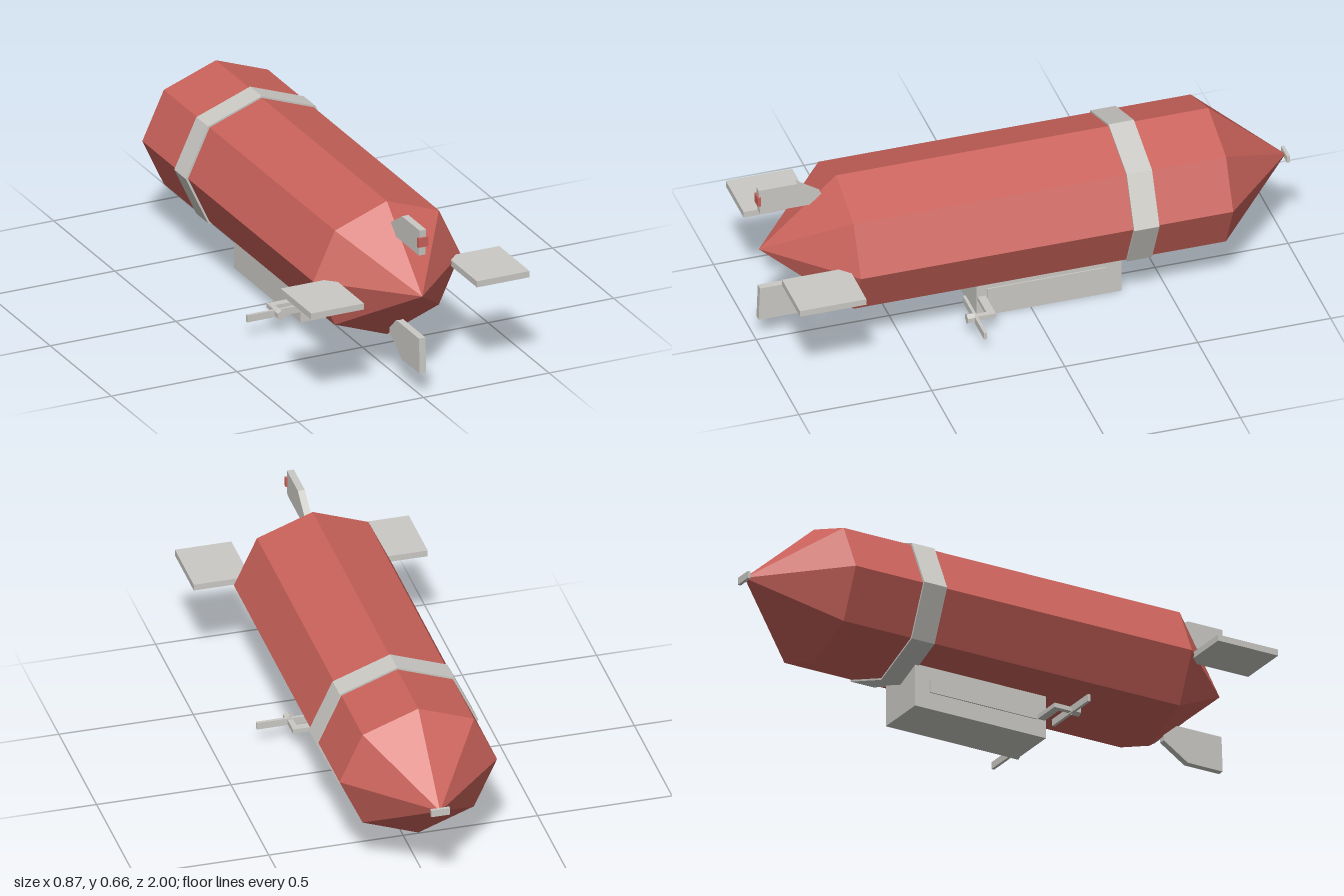
import * as THREE from 'three';

export function createModel() {
  const airship = new THREE.Group();
  airship.name = 'airship';
  const red = new THREE.MeshStandardMaterial({ color: 0xc9625a, flatShading: true });
  red.name = 'hull red';
  const grey = new THREE.MeshStandardMaterial({ color: 0xcac9c4, flatShading: true });
  grey.name = 'fitting grey';

  const add = (name, geometry, material, parent = airship) => {
    const mesh = new THREE.Mesh(geometry, material);
    mesh.name = name;
    parent.add(mesh);
    return mesh;
  };
  // box given by its low and high limits on each axis
  const box = (name, [x0, x1], [y0, y1], [z0, z1], material = grey, parent = airship) => {
    const mesh = add(name, new THREE.BoxGeometry(x1 - x0, y1 - y0, z1 - z0), material, parent);
    mesh.position.set((x0 + x1) / 2, (y0 + y1) / 2, (z0 + z1) / 2);
    return mesh;
  };
  // eight-sided body around the z axis, from [radius, z] pairs on a unit octagon
  const octagonal = (name, profile, rx, ry, material) => {
    const points = profile.map(([r, z]) => new THREE.Vector2(r, z));
    const geometry = new THREE.LatheGeometry(points, 8);
    geometry.rotateX(Math.PI / 2).scale(rx, ry, 1);
    add(name, geometry, material).position.y = 0.39;
  };

  // Hull and band
  octagonal('hull', [[0, -0.99], [1, -0.7], [1, 0.7], [0, 0.99]], 0.293, 0.26, red);
  octagonal('band', [[0.95, -0.42], [1, -0.42], [1, -0.325], [0.95, -0.325]], 0.302, 0.267, grey);
  box('endPlate', [-0.035, 0.035], [0.375, 0.402], [-0.997, -0.985]);

  // Upright fins, drawn in (z, y) and given thickness along x
  const uprightFin = (name, outer, bend, inner) => {
    const shape = new THREE.Shape([
      [0.99, inner], [0.995, outer], [0.85, outer], [0.75, bend], [0.75, inner],
    ].map(([z, y]) => new THREE.Vector2(-z, y)));
    const geometry = new THREE.ExtrudeGeometry(shape, { depth: 0.026, bevelEnabled: false });
    geometry.translate(0, 0, -0.013).rotateY(Math.PI / 2);
    add(name, geometry, grey);
  };
  uprightFin('topFin', 0.652, 0.587, 0.553);
  uprightFin('bottomFin', 0.093, 0.158, 0.228);
  box('tailLight', [-0.02, 0.02], [0.588, 0.624], [0.988, 1], red);

  // Gondola
  box('gondola', [-0.103, 0.103], [0, 0.165], [-0.34, 0.205]);

  // Paired parts
  for (const side of [1, -1]) {
    const label = side > 0 ? 'left' : 'right';
    const span = (a, b) => (side > 0 ? [a, b] : [-b, -a]);
    box(label + 'Fin', span(0.225, 0.435), [0.377, 0.401], [0.725, 0.975]);
    box(label + 'GondolaPanel', span(0.1, 0.108), [0.065, 0.115], [-0.28, 0.165]);

    const engine = new THREE.Group();
    engine.name = label + 'Engine';
    airship.add(engine);
    box('strut', span(0.09, 0.22), [0.068, 0.085], [0.17, 0.2], grey, engine);
    box('shaft', span(0.202, 0.222), [0.068, 0.085], [0.17, 0.245], grey, engine);
    box('propeller', span(0.087, 0.337), [0.063, 0.09], [0.24, 0.251], grey, engine);
    const hub = add('hub', new THREE.CylinderGeometry(0.019, 0.019, 0.03, 6), grey, engine);
    hub.rotation.x = Math.PI / 2;
    hub.position.set(side * 0.212, 0.077, 0.262);
  }
  return airship;
}
